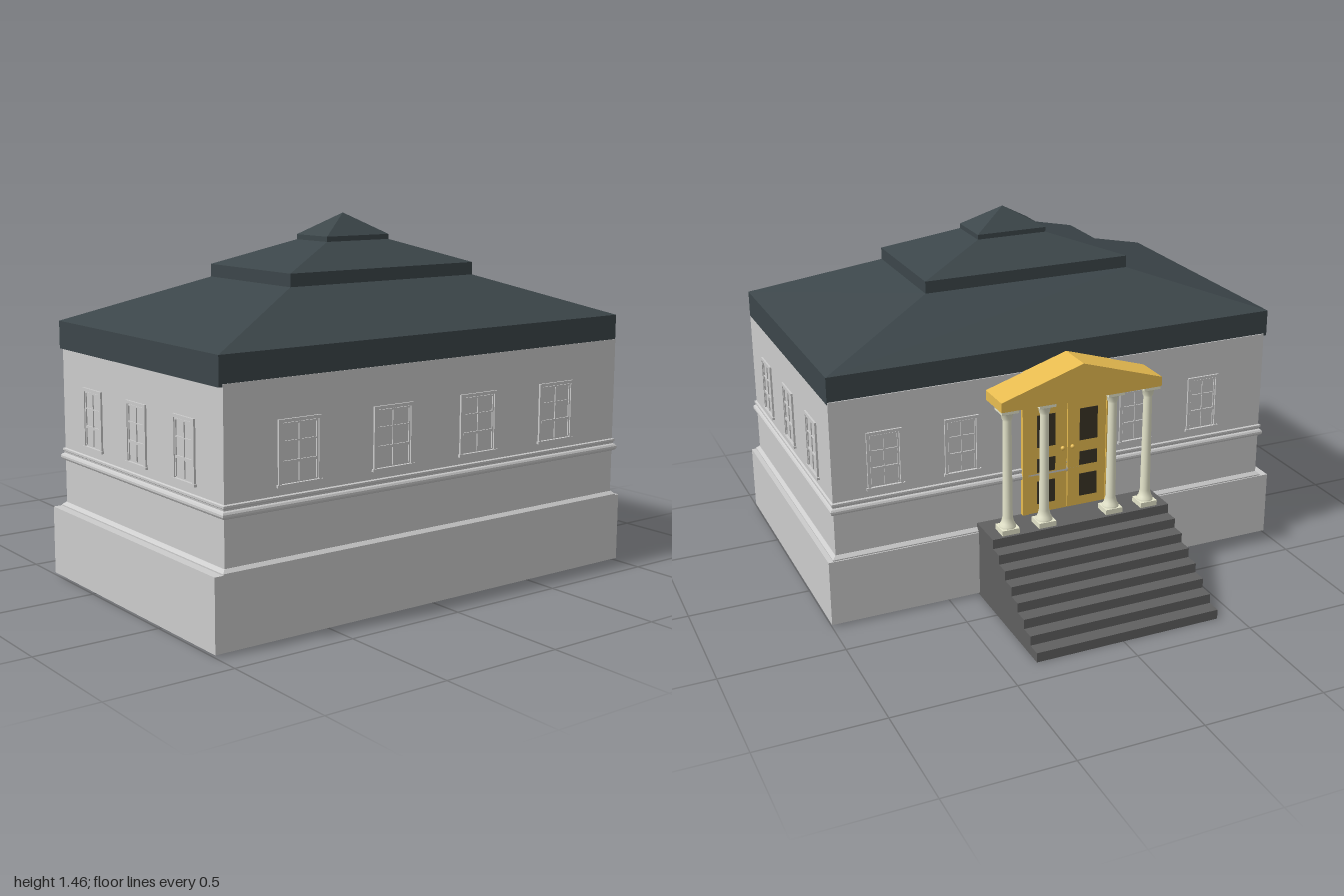
import * as THREE from 'three';

const mat = (color) => new THREE.MeshStandardMaterial({ color });
const stone = mat(0xcccccc), slate = mat(0x3c464a), stepGrey = mat(0x606060);
const gold = mat(0xe8bc50), cream = mat(0xe6e6cc), dark = mat(0x3a3426);

// Wall rectangle: x0, x1, z0, z1
const WALL = [-0.3, 0.865, -0.965, 0.95];

function add(parent, name, geometry, material) {
  const mesh = new THREE.Mesh(geometry, material);
  mesh.name = name;
  parent.add(mesh);
  return mesh;
}

function box(parent, name, w, h, d, x, y, z, material) {
  const mesh = add(parent, name, new THREE.BoxGeometry(w, h, d), material);
  mesh.position.set(x, y, z);
  return mesh;
}

// Skin over stacked rectangles, each [y, x0, x1, z0, z1], capped at both ends
function loft(rings) {
  const pos = [];
  const corners = rings.map(([y, x0, x1, z0, z1]) =>
    [[x0, y, z1], [x1, y, z1], [x1, y, z0], [x0, y, z0]]);
  const quad = (a, b, c, d) => [a, b, c, a, c, d].forEach((p) => pos.push(...p));
  for (let i = 0; i + 1 < corners.length; i++) {
    const lo = corners[i], hi = corners[i + 1];
    for (let k = 0; k < 4; k++) {
      const n = (k + 1) % 4;
      quad(lo[k], lo[n], hi[n], hi[k]);
    }
  }
  const top = corners[corners.length - 1], bottom = corners[0];
  quad(...top);
  quad(bottom[3], bottom[2], bottom[1], bottom[0]);
  const geometry = new THREE.BufferGeometry();
  geometry.setAttribute('position', new THREE.Float32BufferAttribute(pos, 3));
  geometry.computeVertexNormals();
  return geometry;
}

// Moulding around the walls from [y, outward distance] pairs
const moulding = (profile) => loft(profile.map(([y, o]) =>
  [y, WALL[0] - o, WALL[1] + o, WALL[2] - o, WALL[3] + o]));

// Sash window facing +z, centred on x = 0, standing on the wall plane z = 0
function createWindow(width) {
  const g = new THREE.Group();
  g.name = 'window';
  const y0 = 0.56, y1 = 0.795, h = y1 - y0, mid = (y0 + y1) / 2;
  for (const s of [-1, 1]) {
    box(g, 'windowJamb', 0.012, h, 0.012, s * (width / 2 - 0.006), mid, 0.002, stone);
    box(g, 'sashStile', 0.006, h - 0.02, 0.008, s * (width / 2 - 0.017), mid, 0.001, stone);
  }
  box(g, 'windowHead', width, 0.012, 0.012, 0, y1 - 0.006, 0.002, stone);
  box(g, 'windowSill', width + 0.012, 0.01, 0.016, 0, y0, 0.003, stone);
  box(g, 'sashTopRail', width - 0.03, 0.006, 0.008, 0, y1 - 0.017, 0.001, stone);
  box(g, 'meetingRail', width - 0.03, 0.01, 0.009, 0, 0.642, 0.001, stone);
  box(g, 'glazingBar', width - 0.03, 0.005, 0.007, 0, 0.715, 0.001, stone);
  box(g, 'centreBar', 0.007, h - 0.02, 0.007, 0, mid, 0.001, stone);
  return g;
}

function createColumn() {
  const g = new THREE.Group();
  g.name = 'column';
  const profile = [[0.034, 0.34], [0.034, 0.35], [0.027, 0.36], [0.021, 0.385],
    [0.019, 0.6], [0.018, 0.8], [0.022, 0.81], [0.024, 0.825], [0.033, 0.838]];
  add(g, 'columnShaft', new THREE.LatheGeometry(
    profile.map(([r, y]) => new THREE.Vector2(r, y)), 20), cream);
  box(g, 'columnPlinth', 0.075, 0.022, 0.075, 0, 0.331, 0, cream);
  box(g, 'columnAbacus', 0.072, 0.014, 0.072, 0, 0.844, 0, cream);
  return g;
}

export function createModel() {
  const model = new THREE.Group();
  model.name = 'building';

  // Plinth, walls and string courses
  add(model, 'plinth', loft([[0.01, -0.32, 0.88, -1, 1], [0.285, -0.32, 0.88, -1, 1]]), stone);
  add(model, 'walls', moulding([[0.28, 0], [0.94, 0]]), stone);
  add(model, 'plinthMoulding', moulding([[0.28, 0.015], [0.29, 0.015], [0.302, 0.002]]), stone);
  add(model, 'lowerBand', moulding([[0.475, 0.003], [0.479, 0.01], [0.486, 0.014],
    [0.494, 0.014], [0.501, 0.01], [0.505, 0.003]]), stone);
  add(model, 'upperBand', moulding([[0.505, 0.003], [0.512, 0.004], [0.515, 0.008],
    [0.523, 0.008], [0.526, 0.001]]), stone);

  // Three-tier hipped roof
  const tiers = [[0.93, 0.579, 0.966], [1.04, 0.579, 0.966], [1.21, 0.27, 0.45],
    [1.26, 0.27, 0.45], [1.355, 0.1, 0.153], [1.375, 0.1, 0.153], [1.46, 0.0005, 0.0005]];
  add(model, 'roof', loft(tiers.map(([y, hx, hz]) =>
    [y, 0.284 - hx, 0.284 + hx, -hz, hz])), slate);

  // Windows on all four walls: x, z, turn, width
  const spots = [];
  for (const x of [-0.055, 0.28, 0.615]) {
    spots.push([x, WALL[3], 0, 0.145], [x, WALL[2], Math.PI, 0.145]);
  }
  for (const z of [-0.625, -0.207, 0.212, 0.635]) spots.push([WALL[1], z, Math.PI / 2, 0.185]);
  for (const z of [-0.75, -0.43, 0.34, 0.66]) spots.push([WALL[0], z, -Math.PI / 2, 0.145]);
  for (const [x, z, turn, width] of spots) {
    const w = createWindow(width);
    w.position.set(x, 0, z);
    w.rotation.y = turn;
    model.add(w);
  }

  // Profiles drawn in (z, y) or (x, y) and extruded
  const extrude = (points, depth) => new THREE.ExtrudeGeometry(
    new THREE.Shape(points.map(([a, b]) => new THREE.Vector2(a, b))),
    { depth, bevelEnabled: false });

  // Staircase with landing
  const steps = [[-0.26, 0], [-0.26, 0.32]];
  for (let i = 7; i >= 0; i--) {
    const x = -0.885 + i * 0.06;
    steps.push([x, (i + 1) * 0.04], [x, i * 0.04]);
  }
  const stairs = add(model, 'stairs', extrude(steps.reverse(), 0.79), stepGrey);
  stairs.position.z = -0.37;

  // Portico: columns, entablature and gabled roof
  const portico = new THREE.Group();
  portico.name = 'portico';
  model.add(portico);
  for (const z of [-0.285, -0.125, 0.175, 0.335]) {
    const column = createColumn();
    column.position.set(-0.415, 0, z);
    portico.add(column);
  }
  const gable = add(portico, 'porticoRoof', extrude([[-0.325, 0.85], [0.375, 0.85],
    [0.375, 0.89], [0.025, 1.0], [-0.325, 0.89]], 0.305), gold);
  gable.rotation.y = -Math.PI / 2;
  gable.position.x = -0.15;

  // Double door with panels and knobs
  const door = new THREE.Group();
  door.name = 'door';
  door.position.set(-0.3, 0, 0.025);
  model.add(door);
  box(door, 'doorHead', 0.03, 0.03, 0.4, -0.003, 0.8, 0, gold);
  for (const s of [-1, 1]) {
    box(door, 'doorJamb', 0.03, 0.47, 0.025, -0.003, 0.555, s * 0.1875, gold);
    box(door, 'doorLeaf', 0.026, 0.465, 0.172, -0.001, 0.5525, s * 0.088, gold);
    for (const [y, h] of [[0.41, 0.1], [0.53, 0.06], [0.68, 0.14]]) {
      box(door, 'doorPanel', 0.004, h, 0.08, -0.0145, y, s * 0.095, dark);
    }
    const knob = add(door, 'doorKnob', new THREE.SphereGeometry(0.009, 12, 8), gold);
    knob.position.set(-0.018, 0.59, s * 0.022);
  }

  return model;
}
